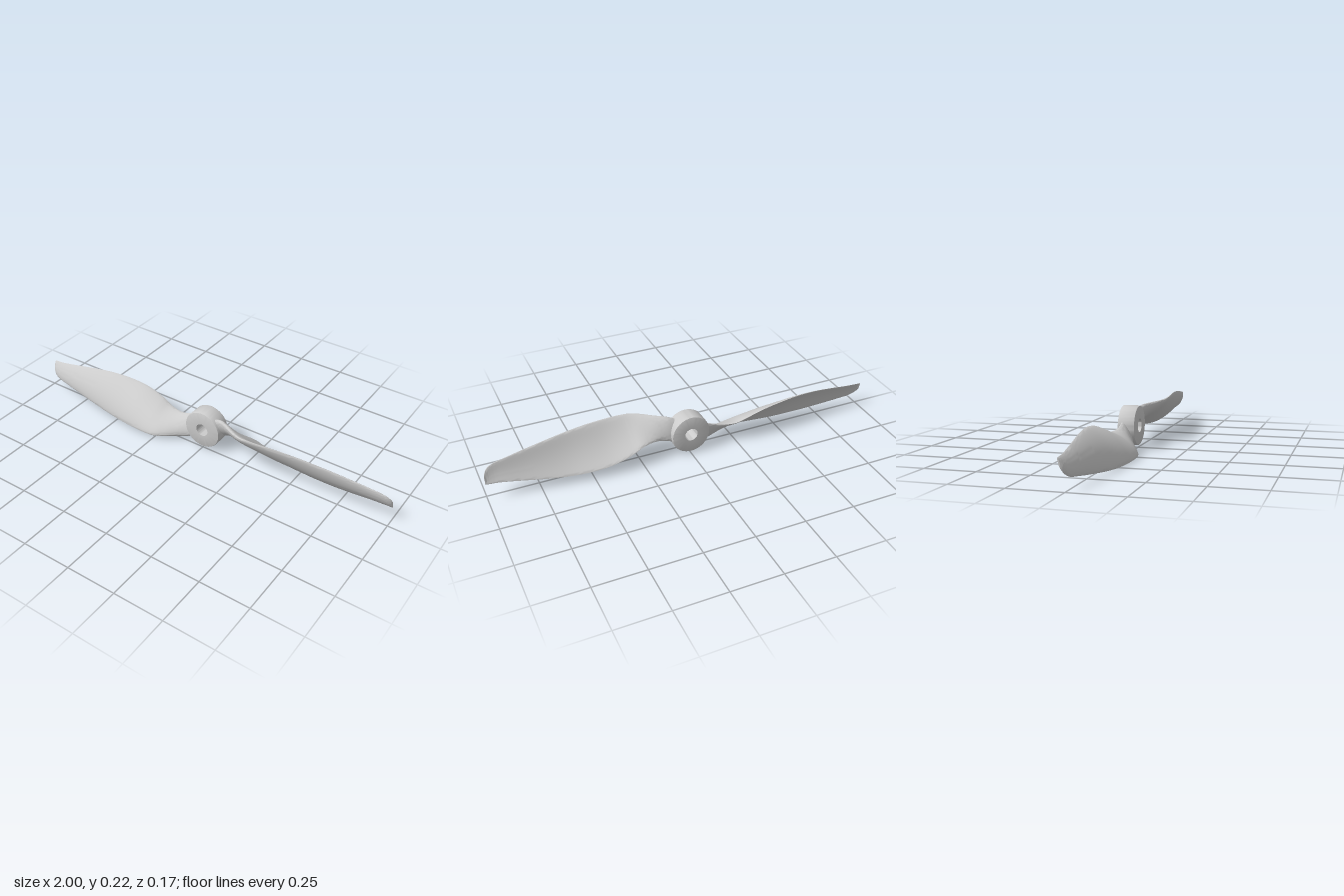
import * as THREE from 'three';
import { toCreasedNormals } from 'three/addons/utils/BufferGeometryUtils.js';

const HUB_Y = 0.113;

// Blade stations from root to tip:
// x, leading edge y and z, trailing edge y and z, thickness, camber ratio
const STATIONS = [
  [0.06, 0.186, -0.014, 0.075, -0.05, 0.036, 0.0],
  [0.10, 0.202, -0.004, 0.088, -0.052, 0.038, 0.02],
  [0.15, 0.206, 0.022, 0.106, -0.054, 0.038, 0.03],
  [0.20, 0.210, 0.052, 0.114, -0.064, 0.036, 0.05],
  [0.25, 0.215, 0.074, 0.110, -0.075, 0.034, 0.06],
  [0.30, 0.219, 0.078, 0.090, -0.083, 0.031, 0.07],
  [0.40, 0.223, 0.071, 0.060, -0.086, 0.028, 0.08],
  [0.50, 0.223, 0.060, 0.047, -0.080, 0.025, 0.08],
  [0.60, 0.217, 0.048, 0.044, -0.068, 0.022, 0.08],
  [0.70, 0.207, 0.035, 0.051, -0.056, 0.020, 0.08],
  [0.80, 0.195, 0.023, 0.065, -0.045, 0.017, 0.08],
  [0.90, 0.181, 0.011, 0.081, -0.036, 0.014, 0.08],
  [0.95, 0.173, 0.005, 0.087, -0.032, 0.012, 0.08],
  [0.98, 0.160, -0.002, 0.089, -0.031, 0.011, 0.07],
  [0.995, 0.142, -0.012, 0.090, -0.030, 0.009, 0.06],
  [1.0, 0.128, -0.019, 0.090, -0.030, 0.007, 0.04],
];

// Twisted blade lofted from cambered aerofoil sections
function bladeGeometry() {
  const rings = 84, around = 36, last = STATIONS.length - 1;
  const edge = (k) => new THREE.CatmullRomCurve3(
    STATIONS.map((s) => new THREE.Vector3(s[0], s[k] - HUB_Y, s[k + 1])));
  const leading = edge(1), trailing = edge(3);
  const value = (u, k) => {
    const i = Math.min(Math.floor(u * last), last - 1);
    return THREE.MathUtils.lerp(STATIONS[i][k], STATIONS[i + 1][k], u * last - i);
  };
  const positions = [], index = [];

  for (let i = 0; i <= rings; i++) {
    const u = i / rings;
    const front = leading.getPoint(u), back = trailing.getPoint(u);
    const chord = back.clone().sub(front);
    const normal = new THREE.Vector3(0, chord.z, -chord.y).normalize();
    const thickness = value(u, 5), camber = value(u, 6) * chord.length();
    for (let j = 0; j < around; j++) {
      const a = (j / around) * Math.PI * 2;
      const s = (1 - Math.cos(a)) / 2;
      const offset = camber * 4 * s * (1 - s)
        + 0.5 * thickness * Math.sin(a) * (1.1 - 0.4 * s);
      const p = front.clone().addScaledVector(chord, s).addScaledVector(normal, offset);
      positions.push(p.x, p.y, p.z);
    }
  }
  for (let i = 0; i < rings; i++) {
    for (let j = 0; j < around; j++) {
      const a = i * around + j, b = i * around + (j + 1) % around;
      index.push(a, b, a + around, b, b + around, a + around);
    }
  }
  // End caps
  const tip = rings * around;
  for (let j = 1; j < around - 1; j++) {
    index.push(0, j + 1, j);
    index.push(tip, tip + j, tip + j + 1);
  }
  const geometry = new THREE.BufferGeometry();
  geometry.setAttribute('position', new THREE.Float32BufferAttribute(positions, 3));
  geometry.setIndex(index);
  return toCreasedNormals(geometry, 0.9);
}

// Bored hub with softened outer rims
function hubGeometry() {
  const bore = 0.033, radius = 0.098, back = -0.075, front = 0.01, bevel = 0.006;
  const profile = [
    [bore, back], [radius - bevel, back],
    [radius - bevel * 0.3, back + bevel * 0.3], [radius, back + bevel],
    [radius, front - bevel], [radius - bevel * 0.3, front - bevel * 0.3],
    [radius - bevel, front], [bore, front], [bore, back],
  ].map(([r, h]) => new THREE.Vector2(r, h));
  const geometry = new THREE.LatheGeometry(profile, 64);
  geometry.rotateX(Math.PI / 2);
  return toCreasedNormals(geometry, 0.6);
}

export function createModel() {
  const propeller = new THREE.Group();
  propeller.name = 'propeller';
  const material = new THREE.MeshStandardMaterial({ color: 0xcccccc });

  const hub = new THREE.Mesh(hubGeometry(), material);
  hub.name = 'hub';
  hub.position.y = HUB_Y;
  propeller.add(hub);

  // Two identical blades, half a turn apart
  const geometry = bladeGeometry();
  ['leftBlade', 'rightBlade'].forEach((name, i) => {
    const blade = new THREE.Mesh(geometry, material);
    blade.name = name;
    blade.position.y = HUB_Y;
    blade.rotation.z = i * Math.PI;
    propeller.add(blade);
  });
  return propeller;
}
